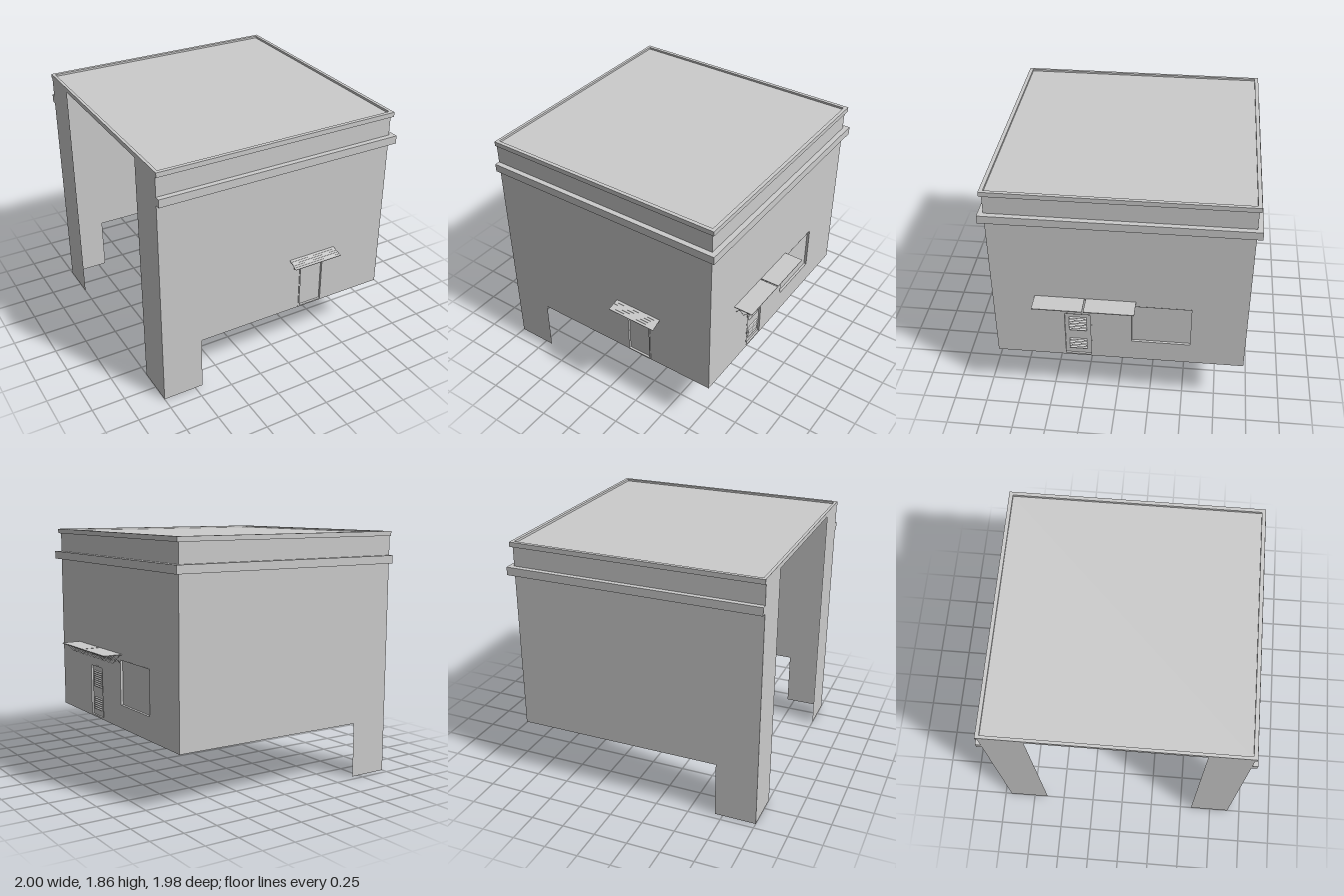
import * as THREE from 'three';

const grey = new THREE.MeshStandardMaterial({ color: 0xcccccc, flatShading: true, side: THREE.DoubleSide });
const LEFT = -1, RIGHT = 0.85, FRONT = 0.9, BACK = -0.95;
const BASE = 0.417, LEG = 0.31, TOP = 1.84;

const corners = (pts) => pts.map(([x, y]) => new THREE.Vector2(x, y));
const rect = (x0, y0, x1, y1) => corners([[x0, y0], [x1, y0], [x1, y1], [x0, y1]]);

function add(parent, name, geometry, x = 0, y = 0, z = 0) {
  const mesh = new THREE.Mesh(geometry, grey);
  mesh.name = name;
  mesh.position.set(x, y, z);
  parent.add(mesh);
  return mesh;
}

function shapeWithHoles(outline, holes = []) {
  const shape = new THREE.Shape(outline);
  holes.forEach((h) => shape.holes.push(new THREE.Path(h)));
  return shape;
}

// Horizontal band: plan outline in (x, z), from y0 up to y1
function band(parent, name, shape, y0, y1) {
  const g = new THREE.ExtrudeGeometry(shape, { depth: y1 - y0, bevelEnabled: false });
  g.rotateX(Math.PI / 2);
  add(parent, name, g, 0, y1, 0);
}

// Straight thin rod between two points
function rod(parent, name, a, b, t) {
  const from = new THREE.Vector3(...a), to = new THREE.Vector3(...b);
  const dir = to.clone().sub(from);
  const mesh = add(parent, name, new THREE.BoxGeometry(t, dir.length(), t));
  mesh.position.copy(from).add(to).multiplyScalar(0.5);
  mesh.quaternion.setFromUnitVectors(new THREE.Vector3(0, 1, 0), dir.normalize());
}

// Framed panel set back in a wall opening; local z points out of the wall
function fitting(name, [x0, y0, x1, y1], frame, depth, proud) {
  const group = new THREE.Group();
  group.name = name;
  const ring = shapeWithHoles(rect(x0, y0, x1, y1), [rect(x0 + frame, y0 + frame, x1 - frame, y1 - frame)]);
  add(group, name + 'Frame', new THREE.ExtrudeGeometry(ring, { depth: depth + proud, bevelEnabled: false }), 0, 0, -depth);
  add(group, name + 'Panel', new THREE.PlaneGeometry(x1 - x0, y1 - y0), (x0 + x1) / 2, (y0 + y1) / 2, -depth);
  return group;
}

// Slanted slats filling a vent
function vent(parent, cx, y0, y1, width, count, z) {
  const step = (y1 - y0) / count;
  for (let i = 0; i < count; i++) {
    const slat = add(parent, 'ventSlat', new THREE.BoxGeometry(width, 0.003, 0.013), cx, y0 + (i + 0.5) * step, z);
    slat.rotation.x = 0.6;
  }
}

function buildWalls(group) {
  const frontDoor = [0.13, 0.42, 0.335, 0.83];
  const sideDoor = [-0.39, 0.42, -0.18, 0.83];
  const window = [0.11, 0.59, 0.55, 0.935];

  // Front and back walls, each with a leg at the open side
  const legged = corners([[LEFT, 0], [LEFT + LEG, 0], [LEFT + LEG, BASE], [RIGHT, BASE], [RIGHT, TOP], [LEFT, TOP]]);
  add(group, 'frontWall', new THREE.ShapeGeometry(shapeWithHoles(legged, [rect(...frontDoor)])), 0, 0, FRONT);
  const backOutline = legged.map((p) => new THREE.Vector2(-p.x, p.y));
  add(group, 'backWall', new THREE.ShapeGeometry(shapeWithHoles(backOutline)), 0, 0, BACK).rotation.y = Math.PI;

  // Side wall with door and window openings
  const side = shapeWithHoles(rect(-FRONT, BASE, -BACK, TOP), [rect(...sideDoor), rect(...window)]);
  add(group, 'rightWall', new THREE.ShapeGeometry(side), RIGHT, 0, 0).rotation.y = Math.PI / 2;

  // Narrow returns either side of the open end
  for (const [z0, z1] of [[BACK, BACK + LEG], [FRONT - LEG, FRONT]]) {
    add(group, 'openEndReturn', new THREE.ShapeGeometry(shapeWithHoles(rect(z0, 0, z1, TOP))), LEFT, 0, 0).rotation.y = -Math.PI / 2;
  }

  const door = fitting('frontDoor', frontDoor, 0.01, 0.012, 0.005);
  door.position.z = FRONT;
  group.add(door);

  const sideFittings = new THREE.Group();
  sideFittings.name = 'rightWallFittings';
  sideFittings.position.x = RIGHT;
  sideFittings.rotation.y = Math.PI / 2;
  const vented = fitting('ventedDoor', sideDoor, 0.01, 0.014, 0.001);
  vent(vented, -0.285, 0.655, 0.785, 0.13, 8, -0.01);
  vent(vented, -0.285, 0.475, 0.575, 0.13, 6, -0.01);
  sideFittings.add(vented, fitting('window', window, 0.004, 0.018, 0.001));
  group.add(sideFittings);
}

function buildRoof(group) {
  // Top rim runs all round and stands above the roof deck
  const rim = shapeWithHoles(rect(LEFT, BACK - 0.015, RIGHT + 0.018, FRONT + 0.015),
    [rect(LEFT + 0.022, BACK + 0.013, RIGHT - 0.008, FRONT - 0.013)]);
  band(group, 'roofRim', rim, 1.825, 1.86);
  const deck = add(group, 'roofDeck', new THREE.PlaneGeometry(RIGHT - LEFT - 0.02, FRONT - BACK - 0.02),
    (LEFT + RIGHT) / 2, 1.845, (FRONT + BACK) / 2);
  deck.rotation.x = -Math.PI / 2;

  // Cornice wraps the three closed sides
  const o = 0.039;
  const cornice = new THREE.Shape(corners([[LEFT, BACK - o], [RIGHT + o, BACK - o], [RIGHT + o, FRONT + o], [LEFT, FRONT + o],
    [LEFT, FRONT], [RIGHT, FRONT], [RIGHT, BACK], [LEFT, BACK]]));
  band(group, 'cornice', cornice, 1.62, 1.68);
}

// Sloping slatted canopy over the front door
function buildFrontAwning(group) {
  const awning = new THREE.Group();
  awning.name = 'frontAwning';
  const slats = 5, run = 0.09, drop = 0.027, cx = 0.232;
  const tilt = Math.atan2(drop, run);
  for (let i = 0; i < slats; i++) {
    const t = (i + 0.5) / slats;
    const slat = add(awning, 'awningSlat', new THREE.BoxGeometry(0.395 - 0.012 * (1 - t), 0.005, run / slats + 0.003),
      cx, 0.861 - drop * t, FRONT + run * t);
    slat.rotation.x = tilt - 0.08;
  }
  for (const x of [0.083, 0.38]) {
    rod(awning, 'awningBrace', [x, 0.775, FRONT], [x, 0.835, FRONT + 0.08], 0.006);
    rod(awning, 'awningRafter', [x, 0.854, FRONT], [x, 0.83, FRONT + 0.085], 0.005);
    rod(awning, 'awningWallPost', [x, 0.775, FRONT + 0.003], [x, 0.854, FRONT + 0.003], 0.005);
  }
  group.add(awning);
}

// Two flat canopies on thin crossed struts along the right wall
function buildSideAwnings(group) {
  const struts = [0.56, 0.5, 0.436, 0.39, 0.325, 0.26];
  for (const shift of [0, -0.372]) {
    const awning = new THREE.Group();
    awning.name = 'sideAwning';
    awning.position.set(RIGHT, 0, shift);
    add(awning, 'awningSheet', new THREE.BoxGeometry(0.145, 0.006, 0.362), 0.0745, 0.975, 0.408);
    for (const z of struts) {
      rod(awning, 'strutIn', [0.001, 0.97, z], [0.063, 0.908, z], 0.003);
      rod(awning, 'strutOut', [0.063, 0.908, z], [0.125, 0.97, z], 0.003);
      rod(awning, 'strutCross', [0.001, 0.91, z], [0.063, 0.97, z], 0.003);
      rod(awning, 'sheetRib', [0.001, 0.971, z], [0.145, 0.971, z], 0.003);
    }
    for (const x of [0.035, 0.085, 0.135]) {
      rod(awning, 'sheetRail', [x, 0.971, 0.228], [x, 0.971, 0.588], 0.003);
    }
    group.add(awning);
  }
}

export function createModel() {
  const group = new THREE.Group();
  group.name = 'building';
  buildWalls(group);
  buildRoof(group);
  buildFrontAwning(group);
  buildSideAwnings(group);
  return group;
}
